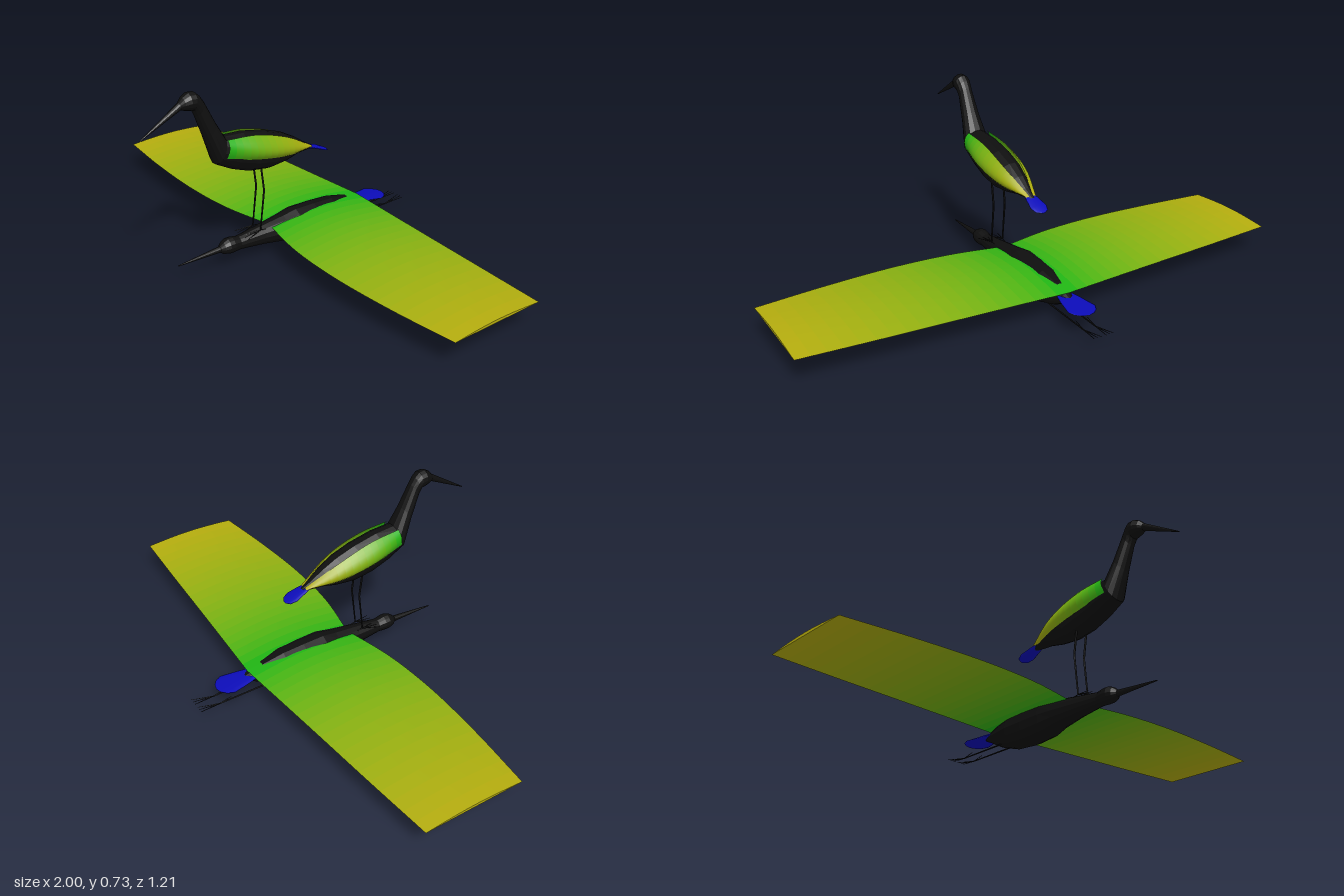
import * as THREE from 'three';

const V = (x, y, z) => new THREE.Vector3(x, y, z);
const BLACK = 0x0e0e0e, BLUE = 0x0c0cb8;
const GREEN = new THREE.Color(0x0ab414), OLIVE = new THREE.Color(0xb6ac0e);

function material(color, flatShading = false) {
  return new THREE.MeshStandardMaterial({ color, flatShading, side: THREE.DoubleSide });
}

function add(parent, name, geometry, mat) {
  const mesh = new THREE.Mesh(geometry, mat);
  mesh.name = name;
  parent.add(mesh);
  return mesh;
}

// Skin over a list of cross-sections with equal point counts
function loft(rings, closed = false) {
  const n = rings[0].length, index = [];
  for (let i = 0; i < rings.length - 1; i++) {
    for (let j = 0; j < (closed ? n : n - 1); j++) {
      const a = i * n + j, b = i * n + (j + 1) % n;
      index.push(a, a + n, b, b, a + n, b + n);
    }
  }
  const g = new THREE.BufferGeometry().setFromPoints(rings.flat());
  g.setIndex(index);
  g.computeVertexNormals();
  return g;
}

// Elliptical body from stations [topZ, topY, bottomZ, bottomY, halfWidth]
function bodyGeometry(stations, sides = 14) {
  return loft(stations.map(([tz, ty, bz, by, w]) =>
    Array.from({ length: sides }, (_, j) => {
      const a = j / sides * Math.PI * 2, s = (Math.sin(a) + 1) / 2;
      return V(w * Math.cos(a), by + (ty - by) * s, bz + (tz - bz) * s);
    })), true);
}

// Thin rod between two points
function rod(parent, name, a, b, r0, r1) {
  const d = b.clone().sub(a);
  const mesh = add(parent, name, new THREE.CylinderGeometry(r1, r0, d.length(), 6), material(BLACK));
  mesh.position.copy(a).addScaledVector(d, 0.5);
  mesh.quaternion.setFromUnitVectors(V(0, 1, 0), d.normalize());
}

// Build a part for both sides of the bird
function bothSides(parent, name, build) {
  for (const side of [1, -1]) {
    const g = new THREE.Group();
    g.name = (side > 0 ? 'left' : 'right') + name;
    g.scale.x = side;
    build(g);
    parent.add(g);
  }
}

// Wing coloured from green to olive in strips; section(t) returns a row of points
function shadedLoft(parent, name, section, strips) {
  for (let i = 0; i < strips; i++) {
    const rows = [0, 0.5, 1].map(k => section((i + k) / strips));
    const color = GREEN.clone().lerp(OLIVE, (i + 0.5) / strips);
    add(parent, name, loft(rows), material(color));
  }
}

function standingBird() {
  const bird = new THREE.Group();
  bird.name = 'standingBird';
  add(bird, 'bodyHeadAndBeak', bodyGeometry([
    [0.60, 0.599, 0.60, 0.595, 0.002], [0.443, 0.70, 0.437, 0.672, 0.014],
    [0.428, 0.717, 0.422, 0.667, 0.024], [0.405, 0.73, 0.40, 0.662, 0.032],
    [0.38, 0.728, 0.388, 0.66, 0.032], [0.36, 0.71, 0.385, 0.652, 0.03],
    [0.343, 0.685, 0.378, 0.635, 0.028], [0.30, 0.60, 0.344, 0.545, 0.036],
    [0.263, 0.535, 0.305, 0.435, 0.05], [0.18, 0.53, 0.235, 0.398, 0.058],
    [0.08, 0.51, 0.16, 0.37, 0.06], [0.0, 0.483, 0.08, 0.358, 0.056],
    [-0.06, 0.45, 0.0, 0.366, 0.044], [-0.105, 0.418, -0.06, 0.38, 0.028],
    [-0.145, 0.393, -0.14, 0.384, 0.012],
  ]), material(BLACK, true));

  // Folded wings, from shoulder to tip
  const curve = pts => new THREE.CatmullRomCurve3(pts);
  const top = curve([V(0.038, 0.53, 0.268), V(0.04, 0.518, 0.14), V(0.036, 0.473, 0), V(0.008, 0.397, -0.135)]);
  const mid = curve([V(0.056, 0.50, 0.272), V(0.076, 0.47, 0.14), V(0.065, 0.436, 0), V(0.02, 0.394, -0.135)]);
  const low = curve([V(0.046, 0.46, 0.279), V(0.058, 0.428, 0.14), V(0.05, 0.404, 0), V(0.01, 0.39, -0.135)]);
  bothSides(bird, 'FoldedWing', g => shadedLoft(g, 'foldedWing', t => {
    const a = top.getPoint(t), m = mid.getPoint(t), b = low.getPoint(t);
    const c = m.clone().multiplyScalar(2).addScaledVector(a, -0.5).addScaledVector(b, -0.5);
    return new THREE.QuadraticBezierCurve3(b, c, a).getPoints(8);
  }, 14));

  // Legs and toes
  bothSides(bird, 'Leg', g => {
    const knee = V(0.025, 0.28, 0.10), ankle = V(0.025, 0.118, 0.118);
    rod(g, 'upperLeg', V(0.025, 0.385, 0.114), knee, 0.004, 0.004);
    rod(g, 'lowerLeg', knee, ankle, 0.004, 0.003);
    for (const dx of [-0.02, 0, 0.02]) rod(g, 'toe', ankle, V(0.025 + dx, 0.108, 0.19), 0.002, 0.001);
    rod(g, 'hindToe', ankle, V(0.025, 0.112, 0.08), 0.002, 0.001);
  });

  add(bird, 'tail', bodyGeometry([
    [-0.10, 0.408, -0.10, 0.392, 0.016], [-0.14, 0.394, -0.142, 0.382, 0.026],
    [-0.185, 0.378, -0.187, 0.366, 0.034], [-0.208, 0.367, -0.208, 0.360, 0.026],
    [-0.218, 0.362, -0.218, 0.359, 0.008],
  ]), material(BLUE));
  return bird;
}

function glidingBird() {
  const bird = new THREE.Group();
  bird.name = 'glidingBird';
  // Level stations [z, topY, bottomY, halfWidth]
  const level = rows => bodyGeometry(rows.map(([z, t, b, w]) => [z, t, z, b, w]));
  add(bird, 'bodyHeadAndBeak', level([
    [0.47, 0.075, 0.071, 0.002], [0.29, 0.092, 0.068, 0.012], [0.275, 0.106, 0.058, 0.024],
    [0.255, 0.115, 0.053, 0.031], [0.235, 0.115, 0.053, 0.031], [0.205, 0.109, 0.055, 0.027],
    [0.10, 0.124, 0.043, 0.038], [0.0, 0.138, 0.027, 0.054], [-0.06, 0.149, 0.009, 0.066],
    [-0.15, 0.148, 0.002, 0.07], [-0.24, 0.143, 0.009, 0.065], [-0.32, 0.126, 0.034, 0.045],
    [-0.38, 0.106, 0.066, 0.026], [-0.41, 0.093, 0.08, 0.012],
  ]), material(BLACK, true));

  // Spread wings: arched top over a flat underside
  const curve = pts => new THREE.CatmullRomCurve3(pts.map(([x, z, y]) => V(x, y, z)));
  const lead = curve([[0, 0.062, 0.114], [0.22, 0.107, 0.113], [0.45, 0.121, 0.113], [0.72, 0.109, 0.113], [1, 0.08, 0.114]]);
  const trail = curve([[0, -0.39, 0.112], [0.22, -0.374, 0.112], [0.45, -0.358, 0.112], [0.72, -0.34, 0.112], [1, -0.32, 0.113]]);
  const chord = (t, arch) => Array.from({ length: 13 }, (_, j) => {
    const p = lead.getPoint(t).lerp(trail.getPoint(t), j / 12);
    p.y += arch * Math.sin(Math.PI * j / 12);
    return p;
  });
  const upper = t => chord(t, 0.024 - 0.013 * t);
  const lower = t => chord(t, 0);
  bothSides(bird, 'Wing', g => {
    shadedLoft(g, 'wingTop', upper, 20);
    shadedLoft(g, 'wingUnderside', t => lower(t).reverse(), 20);
    add(g, 'wingTip', loft([upper(1), lower(1)]), material(OLIVE));
  });

  // Trailing legs with spread toes
  bothSides(bird, 'Leg', g => {
    const ankle = V(0.025, 0.035, -0.525);
    rod(g, 'leg', V(0.025, 0.037, -0.29), ankle, 0.0035, 0.0025);
    for (const dx of [-0.015, 0, 0.015]) rod(g, 'toe', ankle, V(0.025 + dx, 0.046, -0.61), 0.002, 0.001);
    rod(g, 'hindToe', ankle, V(0.025, 0.047, -0.475), 0.002, 0.001);
  });

  add(bird, 'tail', level([
    [-0.36, 0.101, 0.084, 0.03], [-0.40, 0.097, 0.085, 0.042], [-0.475, 0.091, 0.084, 0.057],
    [-0.50, 0.088, 0.084, 0.046], [-0.517, 0.087, 0.084, 0.025], [-0.522, 0.086, 0.084, 0.004],
  ]), material(BLUE));
  return bird;
}

export function createModel() {
  const model = new THREE.Group();
  model.name = 'wadingBirdPair';
  model.add(standingBird(), glidingBird());
  return model;
}
